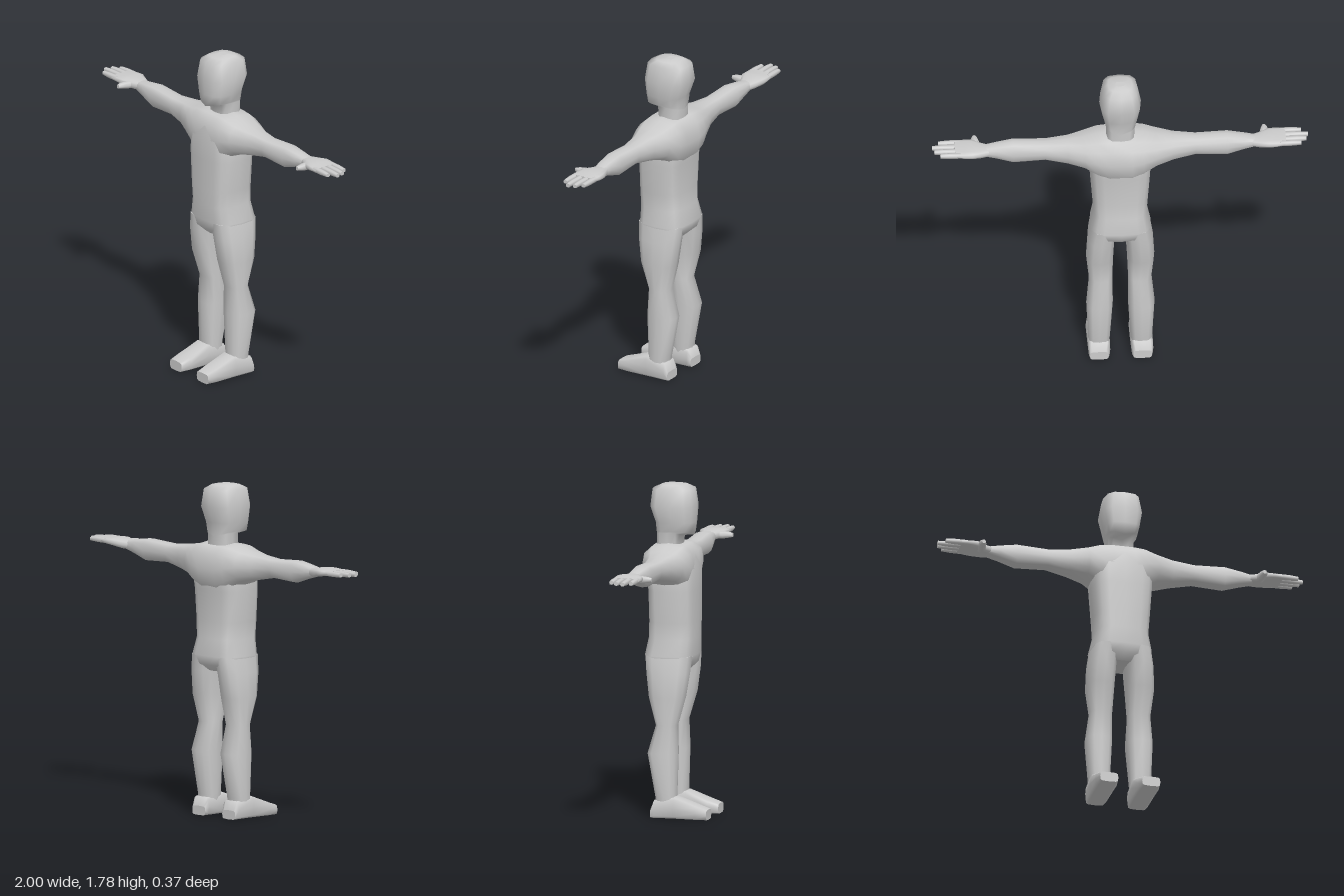
import * as THREE from 'three';

const material = new THREE.MeshStandardMaterial({ color: 0xcccccc });

// Lofts rounded-box rings along an axis. Each section is [t, u0, u1, v0, v1],
// with (u, v) = (y, z) along x, (z, x) along y, (x, y) along z.
// e is the roundness: 1 is an ellipse, towards 0 is a box.
function loft(name, axis, sections, e = 0.7, n = 12, warp = null) {
  const a = 'xyz'.indexOf(axis), positions = [], index = [];
  const put = (t, u, v) => {
    const p = new THREE.Vector3();
    p.setComponent(a, t);
    p.setComponent((a + 1) % 3, u);
    p.setComponent((a + 2) % 3, v);
    if (warp) warp(p);
    return positions.push(p.x, p.y, p.z) / 3 - 1;
  };
  const soft = (c) => Math.abs(c) < 1e-6 ? 0 : Math.sign(c) * Math.abs(c) ** e;
  const ring = ([t, u0, u1, v0, v1]) => {
    const ids = [];
    for (let k = 0; k < n; k++) {
      const w = (k / n) * Math.PI * 2;
      ids.push(put(t, (u0 + u1) / 2 + soft(Math.cos(w)) * (u1 - u0) / 2,
        (v0 + v1) / 2 + soft(Math.sin(w)) * (v1 - v0) / 2));
    }
    return ids;
  };
  const rings = sections.map(ring);
  for (let i = 0; i + 1 < rings.length; i++) {
    for (let k = 0; k < n; k++) {
      const j = (k + 1) % n, p = rings[i], q = rings[i + 1];
      index.push(p[k], p[j], q[j], p[k], q[j], q[k]);
    }
  }
  // End caps with their own vertices, so their rims stay crisp
  for (const s of [sections[0], sections[sections.length - 1]]) {
    const c = put(s[0], (s[1] + s[2]) / 2, (s[3] + s[4]) / 2), r = ring(s);
    for (let k = 0; k < n; k++) {
      const j = (k + 1) % n;
      if (s === sections[0]) index.push(c, r[j], r[k]);
      else index.push(c, r[k], r[j]);
    }
  }
  const g = new THREE.BufferGeometry();
  g.setAttribute('position', new THREE.Float32BufferAttribute(positions, 3));
  g.setIndex(index);
  g.computeVertexNormals();
  const mesh = new THREE.Mesh(g, material);
  mesh.name = name;
  return mesh;
}

// Hand, fingers, thumb, leg and foot of the left side
function createSide() {
  const side = new THREE.Group();
  side.add(loft('hand', 'x', [
    [0.69, 1.36, 1.405, -0.085, -0.02],
    [0.74, 1.36, 1.41, -0.105, 0.0],
    [0.79, 1.37, 1.415, -0.125, 0.025],
    [0.83, 1.375, 1.412, -0.125, 0.028],
    [0.88, 1.38, 1.408, -0.117, 0.025],
  ]));
  // Four fingers: centre z and tip x
  [[0.008, 0.965], [-0.03, 1.0], [-0.067, 0.99], [-0.102, 0.96]].forEach(([z, tip], i) => {
    side.add(loft('finger' + (i + 1), 'x', [
      [0.85, 1.38, 1.408, z - 0.016, z + 0.016],
      [tip - 0.05, 1.38, 1.408, z - 0.015, z + 0.015],
      [tip, 1.383, 1.404, z - 0.012, z + 0.012],
    ], 0.7, 8));
  });
  side.add(loft('thumb', 'z', [
    [-0.04, 0.73, 0.79, 1.365, 1.405],
    [0.015, 0.745, 0.79, 1.365, 1.405],
    [0.045, 0.752, 0.79, 1.37, 1.402],
    [0.066, 0.76, 0.78, 1.375, 1.397],
  ], 0.8, 8));
  side.add(loft('leg', 'y', [
    [0.04, -0.105, 0.01, 0.06, 0.168],
    [0.11, -0.1, 0.012, 0.054, 0.171],
    [0.35, -0.145, 0.02, 0.04, 0.182],
    [0.5, -0.1, 0.015, 0.042, 0.167],
    [0.65, -0.14, 0.062, 0.036, 0.182],
    [0.78, -0.158, 0.083, 0.028, 0.174],
    [0.87, -0.168, 0.092, 0.015, 0.16],
  ], 0.75));
  side.add(loft('foot', 'z', [
    [-0.12, 0.065, 0.165, 0, 0.05],
    [-0.1, 0.056, 0.173, 0, 0.1],
    [0.01, 0.053, 0.175, 0, 0.12],
    [0.13, 0.055, 0.174, 0, 0.075],
    [0.19, 0.065, 0.165, 0, 0.055],
  ], 0.45));
  return side;
}

export function createModel() {
  const model = new THREE.Group();
  model.name = 'figure';

  model.add(loft('torso', 'y', [
    [0.785, -0.12, 0.05, -0.06, 0.06],
    [0.82, -0.16, 0.085, -0.155, 0.155],
    [0.87, -0.175, 0.096, -0.163, 0.163],
    [0.96, -0.157, 0.098, -0.143, 0.143],
    [1.05, -0.153, 0.1, -0.15, 0.15],
    [1.22, -0.156, 0.1, -0.163, 0.163],
    [1.34, -0.178, 0.099, -0.165, 0.165],
    [1.42, -0.16, 0.08, -0.14, 0.14],
  ], 0.6, 16));

  // Shoulders and both arms in one run from wrist to wrist
  const half = [
    [0.06, 1.2, 1.472, -0.182, 0.095],
    [0.12, 1.23, 1.465, -0.178, 0.092],
    [0.19, 1.275, 1.443, -0.155, 0.073],
    [0.28, 1.295, 1.43, -0.118, 0.035],
    [0.4, 1.318, 1.42, -0.097, 0.015],
    [0.57, 1.31, 1.43, -0.099, 0.012],
    [0.66, 1.34, 1.417, -0.092, -0.002],
    [0.75, 1.365, 1.402, -0.085, -0.02],
  ];
  const mirrored = half.map(([x, ...rest]) => [-x, ...rest]).reverse();
  model.add(loft('shouldersAndArms', 'x', [...mirrored, ...half], 0.72));

  // Neck and head, with the jaw line rising towards the sides
  model.add(loft('head', 'y', [
    [1.43, -0.12, 0.015, -0.075, 0.075],
    [1.505, -0.122, 0.017, -0.077, 0.077],
    [1.512, -0.124, 0.08, -0.084, 0.084],
    [1.58, -0.128, 0.086, -0.096, 0.096],
    [1.665, -0.157, 0.092, -0.111, 0.111],
    [1.757, -0.147, 0.08, -0.093, 0.093],
    [1.778, -0.1, 0.035, -0.065, 0.065],
    [1.785, -0.06, -0.02, -0.025, 0.025],
  ], 0.66, 12, (p) => {
    if (p.y > 1.5 && p.y < 1.53) p.y += 0.25 * Math.abs(p.x);
  }));

  const left = createSide();
  left.name = 'leftSide';
  const right = createSide();
  right.name = 'rightSide';
  right.scale.x = -1;
  model.add(left, right);
  return model;
}
